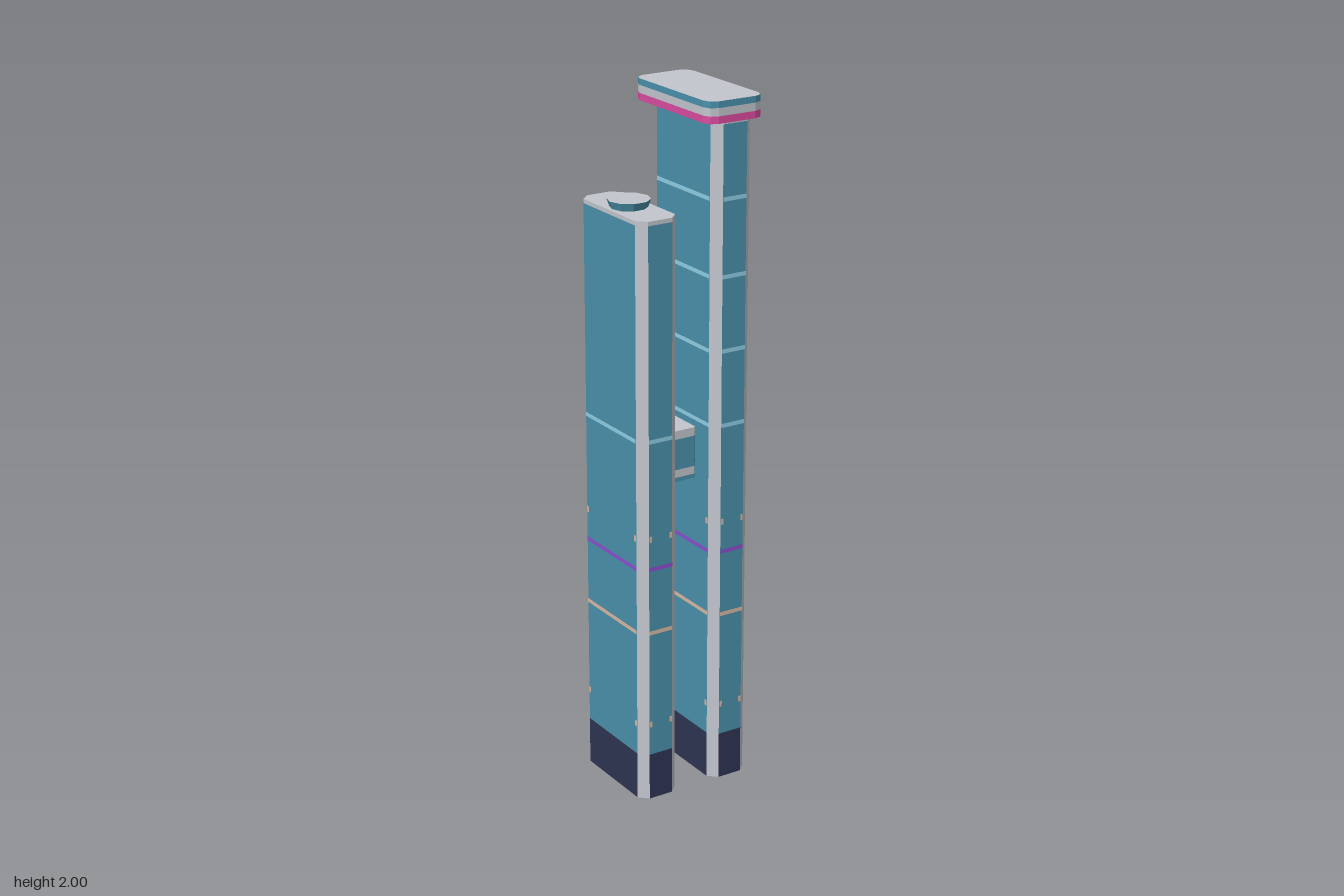
import * as THREE from 'three';

const mat = (name, color) => Object.assign(new THREE.MeshStandardMaterial({ color }), { name });
const M = {
  glass: mat('teal glass', 0x4a91ab),
  metal: mat('pale grey metal', 0xc2c6cd),
  base: mat('navy base', 0x2e3553),
  pink: mat('pink neon', 0xdb4ba0),
  purple: mat('purple neon', 0x8a4fd0),
  ice: mat('ice blue trim', 0x8fd0e6),
  tan: mat('warm lamp', 0xd9b9a4),
};

// Rectangle with cut (n = 1) or rounded corners, anticlockwise from above
function outline(cx, w, d, r, n = 1) {
  const pts = [];
  [[1, 1], [1, -1], [-1, -1], [-1, 1]].forEach(([sx, sz], k) => {
    for (let j = 0; j <= n; j++) {
      const a = (1 - k - j / n) * Math.PI / 2;
      pts.push([cx + sx * (w - r) + r * Math.cos(a), sz * (d - r) + r * Math.sin(a)]);
    }
  });
  return pts;
}

function addMesh(group, name, positions, material) {
  const g = new THREE.BufferGeometry();
  g.setAttribute('position', new THREE.Float32BufferAttribute(positions, 3));
  g.computeVertexNormals();
  const mesh = new THREE.Mesh(g, material);
  mesh.name = name;
  group.add(mesh);
}

// Upright faces along the chosen edges; spans are the covered parts of each edge
function walls(group, name, pts, y0, y1, material, keep = () => true, spans = [[0, 1]]) {
  const pos = [];
  pts.forEach((p, i) => {
    if (!keep(i)) return;
    const q = pts[(i + 1) % pts.length];
    const at = (t) => [p[0] + (q[0] - p[0]) * t, p[1] + (q[1] - p[1]) * t];
    for (const [s, e] of spans) {
      const [a, b] = [at(s), at(e)];
      pos.push(a[0], y0, a[1], b[0], y0, b[1], b[0], y1, b[1],
        a[0], y0, a[1], b[0], y1, b[1], a[0], y1, a[1]);
    }
  });
  addMesh(group, name, pos, material);
}

// Level face closing an outline
function lid(group, name, pts, y, material, up = true) {
  const pos = [];
  for (let i = 1; i < pts.length - 1; i++) {
    const tri = up ? [pts[0], pts[i], pts[i + 1]] : [pts[0], pts[i + 1], pts[i]];
    tri.forEach(([x, z]) => pos.push(x, y, z));
  }
  addMesh(group, name, pos, material);
}

// Closed block made of stacked colour bands [y0, y1, material]
function bandedBlock(name, pts, bands, topMat, bottomMat) {
  const g = new THREE.Group();
  g.name = name;
  bands.forEach(([y0, y1, m], i) => walls(g, `${name}Band${i + 1}`, pts, y0, y1, m));
  lid(g, `${name}Top`, pts, bands[bands.length - 1][1], topMat);
  lid(g, `${name}Bottom`, pts, bands[0][0], bottomMat, false);
  return g;
}

function tower(name, cx, height, iceLines) {
  const g = new THREE.Group();
  g.name = name;
  const pts = outline(cx, 0.0625, 0.155, 0.025);
  const proud = outline(cx, 0.0635, 0.156, 0.026);
  const panel = (i) => i % 2 === 1;
  const corner = (i) => i % 2 === 0;

  // Body
  walls(g, 'cornerStrips', pts, 0, height, M.metal, corner);
  walls(g, 'basePanels', pts, 0, 0.14, M.base, panel);
  walls(g, 'glassPanels', pts, 0.14, height - 0.012, M.glass, panel);
  walls(g, 'topTrim', pts, height - 0.012, height, M.metal, panel);
  lid(g, 'roof', pts, height, M.metal);
  lid(g, 'underside', pts, 0, M.base, false);

  // Thin floor lines
  const line = (label, y, m) => walls(g, label, proud, y - 0.006, y + 0.006, m, panel);
  iceLines.forEach((y) => line('iceLine', y, M.ice));
  line('purpleLine', 0.71, M.purple);
  line('warmLine', 0.518, M.tan);

  // Small lamps at the panel edges
  for (const y of [0.8, 0.235]) {
    walls(g, 'shortSideLamps', proud, y - 0.009, y + 0.009, M.tan,
      (i) => i % 4 === 3, [[0.01, 0.12], [0.88, 0.99]]);
    walls(g, 'longSideLamps', proud, y - 0.009, y + 0.009, M.tan,
      (i) => i % 4 === 1, [[0.005, 0.04], [0.96, 0.995]]);
  }
  return g;
}

export function createModel() {
  const model = new THREE.Group();
  model.name = 'twinTowers';

  model.add(tower('shortTower', -0.1225, 1.7, [1.085]));
  model.add(tower('tallTower', 0.1125, 1.94, [1.085, 1.3, 1.51, 1.725]));

  // Overhanging roof slab of the tall tower
  model.add(bandedBlock('roofSlab', outline(0.0975, 0.0875, 0.185, 0.03, 2), [
    [1.94, 1.96, M.pink],
    [1.96, 1.982, M.metal],
    [1.982, 2, M.glass],
  ], M.metal, M.glass));

  // Bridge between the towers
  model.add(bandedBlock('skyBridge', outline(-0.005, 0.055, 0.067, 0.005), [
    [0.91, 0.922, M.glass],
    [0.922, 0.945, M.metal],
    [0.945, 1.035, M.glass],
    [1.035, 1.06, M.metal],
  ], M.metal, M.glass));

  // Landing pad on the short tower
  const padGeo = new THREE.CylinderGeometry(0.06, 0.052, 0.022, 10).rotateY(Math.PI / 2).toNonIndexed();
  padGeo.computeVertexNormals();
  const pad = new THREE.Mesh(padGeo, [M.glass, M.metal, M.glass]);
  pad.name = 'landingPad';
  pad.position.set(-0.1225, 1.711, 0);
  model.add(pad);

  return model;
}
